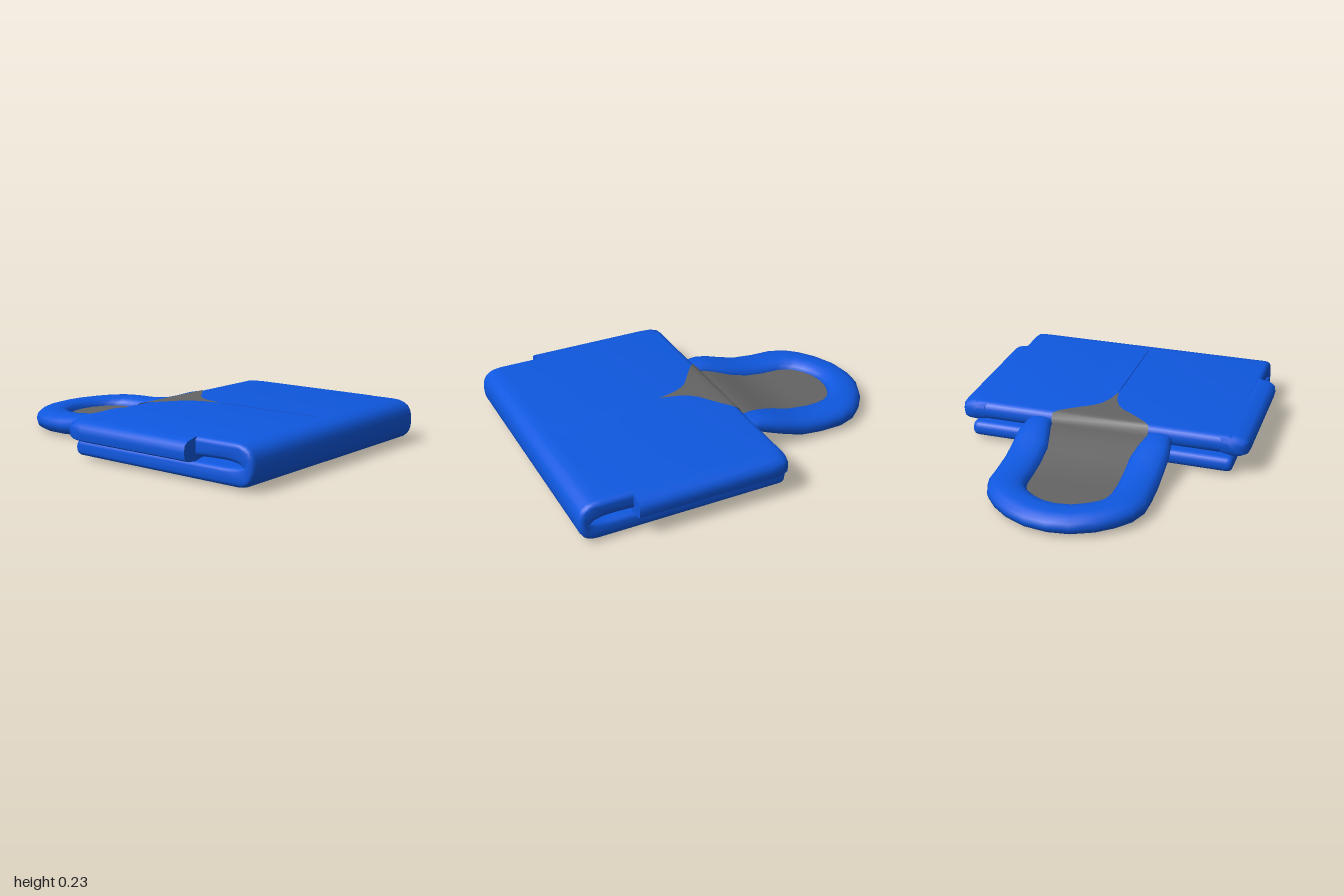
import * as THREE from 'three';
import { toCreasedNormals } from 'three/addons/utils/BufferGeometryUtils.js';

const blue = new THREE.MeshStandardMaterial({ color: 0x0f58e0, side: THREE.DoubleSide });
blue.name = 'blueFabric';
const grey = new THREE.MeshStandardMaterial({ color: 0x646464, side: THREE.DoubleSide });
grey.name = 'greyLining';

function part(name, geometry, material, crease = 0.8) {
  const mesh = new THREE.Mesh(toCreasedNormals(geometry, crease), material);
  mesh.name = name;
  return mesh;
}

// Closed solid through rings of [x, y, z] points, capped at both ends
function loft(rings) {
  const n = rings[0].length, pos = rings.flat(2), idx = [];
  for (let i = 0; i < rings.length - 1; i++) {
    for (let j = 0; j < n; j++) {
      const a = i * n + j, b = i * n + (j + 1) % n;
      idx.push(a, b, b + n, a, b + n, a + n);
    }
  }
  [0, rings.length - 1].forEach((r) => {
    const c = pos.length / 3;
    for (let k = 0; k < 3; k++) pos.push(rings[r].reduce((s, p) => s + p[k], 0) / n);
    for (let j = 0; j < n; j++) {
      const a = r * n + j, b = r * n + (j + 1) % n;
      if (r === 0) idx.push(c, b, a); else idx.push(c, a, b);
    }
  });
  // Turn the faces outward when the signed volume is negative
  const v = (i) => new THREE.Vector3().fromArray(pos, idx[i] * 3);
  let volume = 0;
  for (let i = 0; i < idx.length; i += 3) volume += v(i).dot(v(i + 1).cross(v(i + 2)));
  if (volume < 0) idx.reverse();
  const g = new THREE.BufferGeometry();
  g.setAttribute('position', new THREE.Float32BufferAttribute(pos, 3));
  g.setIndex(idx);
  return g;
}

// Symmetric sheet across z through stations [x, y, halfWidth]
function strip(stations, faceDown = false) {
  const pos = [], idx = [];
  stations.forEach(([x, y, w], i) => {
    pos.push(x, y, w, x, y, -w);
    const a = i * 2;
    if (i) idx.push(a - 2, a, a - 1, a - 1, a, a + 1);
  });
  if (faceDown) idx.reverse();
  const g = new THREE.BufferGeometry();
  g.setAttribute('position', new THREE.Float32BufferAttribute(pos, 3));
  g.setIndex(idx);
  return g;
}

// Piecewise linear lookup in [x, value] pairs
function sample(table, x) {
  for (let i = 1; i < table.length; i++) {
    const [x0, a] = table[i - 1], [x1, b] = table[i];
    if (x <= x1) return a + (b - a) * Math.max(0, (x - x0) / (x1 - x0));
  }
  return table[table.length - 1][1];
}

export function createModel() {
  const model = new THREE.Group();
  model.name = 'foldedSleepingBag';

  // Quilt folded double, seen as a U from the side
  const u = new THREE.Shape();
  u.moveTo(-0.1, 0.02);
  u.lineTo(0.9, 0.015);
  u.bezierCurveTo(0.97, 0.015, 0.998, 0.05, 0.998, 0.12);
  u.bezierCurveTo(0.998, 0.19, 0.97, 0.228, 0.88, 0.229);
  u.lineTo(-0.08, 0.227);
  u.quadraticCurveTo(-0.13, 0.225, -0.13, 0.175);
  u.quadraticCurveTo(-0.13, 0.122, -0.08, 0.122);
  u.lineTo(0.6, 0.122);
  u.quadraticCurveTo(0.7, 0.136, 0.84, 0.136);
  u.quadraticCurveTo(0.9, 0.134, 0.93, 0.118);
  u.quadraticCurveTo(0.88, 0.105, 0.8, 0.105);
  u.lineTo(-0.1, 0.105);
  u.quadraticCurveTo(-0.14, 0.105, -0.14, 0.062);
  u.quadraticCurveTo(-0.14, 0.02, -0.1, 0.02);
  const quilt = new THREE.ExtrudeGeometry(u, {
    depth: 1.43, curveSegments: 6, bevelEnabled: true, bevelThickness: 0.03,
    bevelSize: 0.022, bevelOffset: -0.022, bevelSegments: 3,
  });
  quilt.translate(0, 0, -0.72);
  model.add(part('foldedQuilt', quilt, blue, 0.6));

  // Rounded side flaps along the upper layer, as [z, y] sections
  const flap = [[0.66, 0.227], [0.74, 0.226], [0.795, 0.214], [0.82, 0.195], [0.825, 0.16],
    [0.818, 0.125], [0.79, 0.112], [0.74, 0.108], [0.66, 0.125]];
  [[1, 0.66], [-1, 0.715]].forEach(([side, end]) => {
    const rings = [[-0.128, 0.55], [-0.115, 0.82], [-0.08, 0.96], [-0.02, 1], [end, 1]].map(([x, s]) =>
      flap.map(([z, y]) => [x, 0.17 + (y - 0.17) * s, side * (0.7 + (z - 0.7) * s)]));
    model.add(part(side > 0 ? 'frontSideFlap' : 'backSideFlap', loft(rings), blue));
  });

  // Low overlap along the middle opening
  const seam = [[0, 0.215], [0, 0.234], [-0.04, 0.233], [-0.17, 0.227], [-0.17, 0.215]];
  model.add(part('centreOverlap', loft([[0.2, -0.006], [0.3, 0], [0.84, 0], [0.91, -0.008]].map(([x, d]) =>
    seam.map(([z, y]) => [x, y + d, z]))), blue, 0.5));

  // Hood: padded horseshoe rim between an outer and an inner outline, [x, z]
  const outer = [[-1, 0], [-0.985, 0.12], [-0.93, 0.24], [-0.86, 0.33], [-0.79, 0.39], [-0.69, 0.427],
    [-0.57, 0.43], [-0.45, 0.43], [-0.35, 0.43], [-0.26, 0.43], [-0.18, 0.417], [-0.1, 0.405]];
  const inner = [[-0.81, 0], [-0.8, 0.07], [-0.77, 0.135], [-0.735, 0.18], [-0.69, 0.21], [-0.64, 0.222],
    [-0.55, 0.225], [-0.44, 0.225], [-0.33, 0.225], [-0.24, 0.245], [-0.18, 0.262], [-0.1, 0.275]];
  const low = [[-1, 0.004], [-0.5, 0.004], [-0.4, 0.028], [-0.2, 0.108], [-0.1, 0.135]];
  const high = [[-1, 0.108], [-0.8, 0.12], [-0.5, 0.122], [-0.4, 0.143], [-0.22, 0.199], [-0.16, 0.205], [-0.1, 0.195]];
  const rimRing = (i, side) => {
    const [ox, oz] = outer[i], [ix, iz] = inner[i], ring = [];
    for (let k = 0; k < 14; k++) {
      const t = (k / 14) * Math.PI * 2, c = Math.cos(t), s = Math.sin(t);
      const f = 0.5 + 0.5 * Math.sign(c) * Math.abs(c) ** 0.85;
      const x = ix + (ox - ix) * f, z = iz + (oz - iz) * f;
      const lo = sample(low, x), hi = sample(high, x);
      const h = 0.5 + 0.5 * Math.sign(s) * Math.abs(s) ** 0.85;
      ring.push([x, lo + (hi - lo) * h, side * z]);
    }
    return ring;
  };
  const rim = [];
  for (let i = outer.length - 1; i > 0; i--) rim.push(rimRing(i, -1));
  for (let i = 0; i < outer.length; i++) rim.push(rimRing(i, 1));
  const hood = new THREE.Group();
  hood.name = 'hood';
  hood.add(part('hoodRim', loft(rim), blue, 1));

  // Lining and underside close the rim above and below
  hood.add(part('hoodLining', strip(inner.map(([x, z]) =>
    [x, sample(low, x) * 0.42 + sample(high, x) * 0.58, z + 0.008])), grey));
  hood.add(part('hoodUnderside', strip(inner.map(([x, z], i) => {
    const mx = (x + outer[i][0]) / 2;
    return [mx, sample(low, mx), (z + outer[i][1]) / 2];
  }), true), blue));
  model.add(hood);

  // Lining showing through the pointed opening on the quilt
  model.add(part('openingLining', strip([[-0.14, 0.172, 0.275], [-0.132, 0.2, 0.275], [-0.115, 0.223, 0.275],
    [-0.09, 0.2305, 0.25], [-0.05, 0.231, 0.2], [0, 0.231, 0.13], [0.03, 0.231, 0.085],
    [0.07, 0.231, 0.05], [0.13, 0.231, 0.022], [0.23, 0.231, 0]]), grey));
  return model;
}
